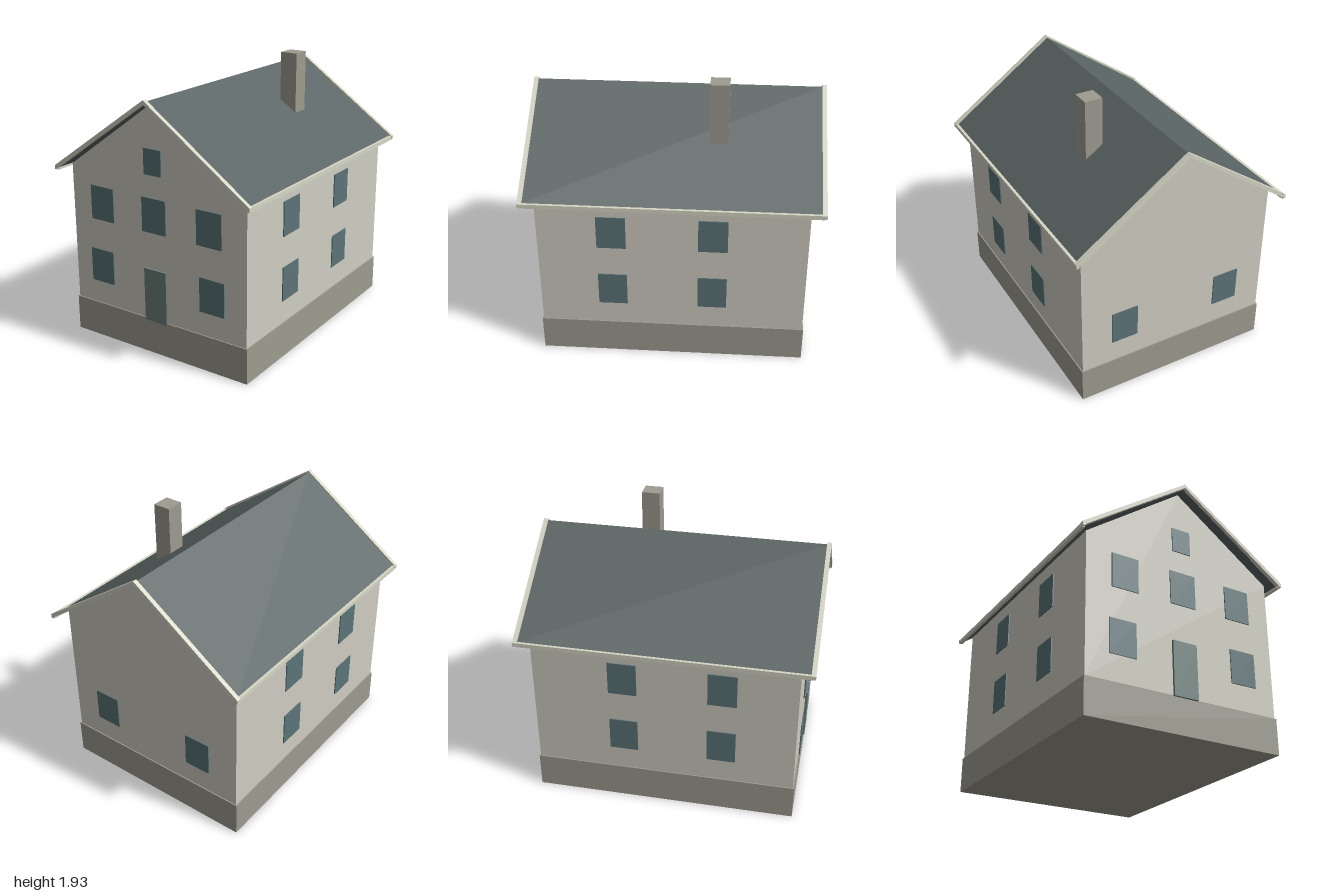
import * as THREE from 'three';

const paint = (color) => new THREE.MeshStandardMaterial({ color, flatShading: true });

export function createModel() {
  const house = new THREE.Group();
  house.name = 'house';
  const wallPaint = paint(0xd0cec2), stone = paint(0x9e9c90), slate = paint(0x5a6464);
  const trim = paint(0xd6d6c6), glass = paint(0x5c7478), doorPaint = paint(0x6c807c);

  const add = (name, geometry, material) => {
    const mesh = new THREE.Mesh(geometry, material);
    mesh.name = name;
    house.add(mesh);
    return mesh;
  };
  const box = (name, material, w, h, d, x, y, z) =>
    add(name, new THREE.BoxGeometry(w, h, d), material).position.set(x, y, z);
  // Outline in x,y pulled along z from z0 to z1
  const prism = (name, material, points, z0, z1) => {
    const shape = new THREE.Shape(points.map(([x, y]) => new THREE.Vector2(x, y)));
    const geometry = new THREE.ExtrudeGeometry(shape, { depth: z1 - z0, bevelEnabled: false });
    add(name, geometry.translate(0, 0, z0), material);
  };

  // Stone base and gabled body
  box('foundation', stone, 1.44, 0.25, 1.83, 0, 0.125, 0);
  prism('walls', wallPaint,
    [[-0.712, 0.25], [0.712, 0.25], [0.712, 1.24], [0, 1.752], [-0.712, 1.24]], -0.907, 0.907);

  // Roof slab, both slopes in one bent outline
  prism('roof', slate,
    [[-0.768, 1.232], [-0.768, 1.217], [0, 1.755], [0.768, 1.217], [0.768, 1.232], [0, 1.772]], -0.975, 0.975);

  // Gable boards at both ends, eave boards along both sides
  for (const side of [-1, 1]) {
    const z0 = side > 0 ? 0.97 : -1;
    prism('gableBoard', trim,
      [[-0.788, 1.235], [-0.788, 1.208], [-0.766, 1.208], [-0.766, 1.218], [0, 1.756],
        [0.766, 1.218], [0.766, 1.208], [0.788, 1.208], [0.788, 1.235], [0, 1.785]], z0, z0 + 0.03);
    box('eaveBoard', trim, 0.022, 0.03, 1.97, side * 0.774, 1.219, 0);
  }

  // Chimney
  box('chimney', stone, 0.125, 0.53, 0.128, 0.3125, 1.665, -0.29);

  // Windows sit as thin panes just off the walls
  const pane = 0.007, lower = 0.545, upper = 1.003;
  const frontWindows = [
    [-0.458, lower], [0.458, lower], [-0.438, upper], [0, upper], [0.438, upper],
  ];
  for (const [x, y] of frontWindows) box('frontWindow', glass, 0.194, 0.24, pane, x, y, 0.925);
  box('atticWindow', glass, 0.14, 0.176, pane, 0, 1.367, 0.925);
  for (const x of [-0.4, 0.4]) box('backWindow', glass, 0.194, 0.24, pane, x, lower, -0.922);
  for (const x of [-0.728, 0.728])
    for (const y of [lower, upper])
      for (const z of [-0.276, 0.403]) box('sideWindow', glass, pane, 0.24, 0.197, x, y, z);

  // Front door
  box('door', doorPaint, 0.18, 0.377, 0.016, 0, 0.434, 0.922);

  return house;
}
